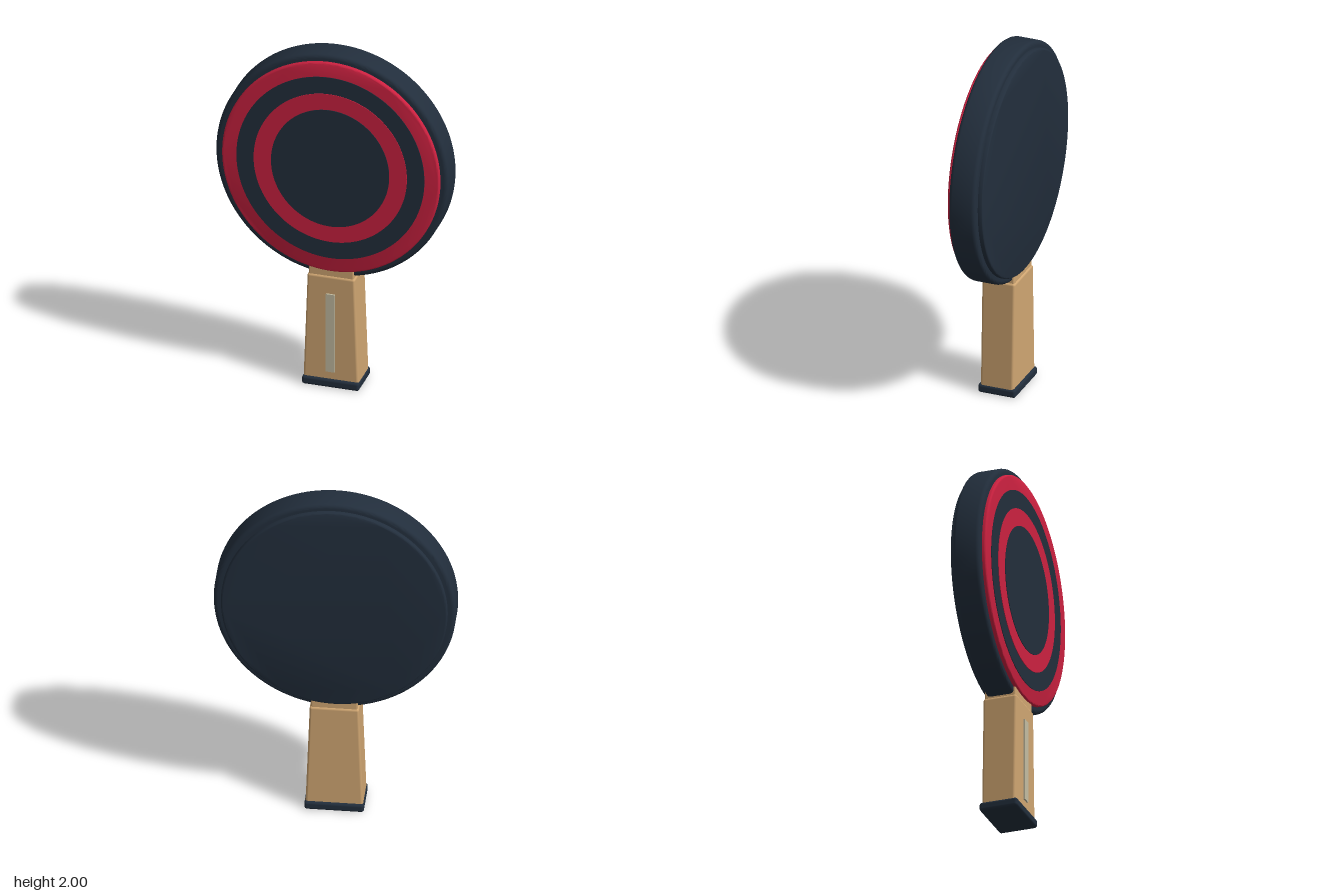
import * as THREE from 'three';
import { toCreasedNormals } from 'three/addons/utils/BufferGeometryUtils.js';
import { RoundedBoxGeometry } from 'three/addons/geometries/RoundedBoxGeometry.js';

const HEAD_Y = 1.333;

function material(name, color) {
  const m = new THREE.MeshStandardMaterial({ color });
  m.name = name;
  return m;
}

// Oval slab from z0 to z1 with outer radii rx, ry and a rounded rim
function ovalSlab(rx, ry, z0, z1, bevel = 0) {
  const shape = new THREE.Shape();
  shape.absellipse(0, 0, rx - bevel, ry - bevel, 0, Math.PI * 2);
  const geo = new THREE.ExtrudeGeometry(shape, {
    depth: z1 - z0 - 2 * bevel,
    curveSegments: 96,
    bevelEnabled: bevel > 0,
    bevelThickness: bevel,
    bevelSize: bevel,
    bevelSegments: 4,
  });
  geo.translate(0, HEAD_Y, z0 + bevel);
  return toCreasedNormals(geo, 0.6);
}

// Rounded block from y0 to y1 whose half width runs from bottom to top
function taperedBlock(bottom, top, y0, y1, halfDepth, radius) {
  const h = y1 - y0;
  const geo = new RoundedBoxGeometry(2 * bottom, h, 2 * halfDepth, 4, radius);
  const pos = geo.attributes.position;
  for (let i = 0; i < pos.count; i++) {
    const t = pos.getY(i) / h + 0.5;
    pos.setX(i, pos.getX(i) * THREE.MathUtils.lerp(1, top / bottom, t));
  }
  geo.translate(0, (y0 + y1) / 2, 0);
  return geo;
}

export function createModel() {
  const model = new THREE.Group();
  model.name = 'paddle';

  const navy = material('navy', 0x222e3c);
  const red = material('red', 0xcc2140);
  const wood = material('wood', 0xd0a672);
  const inlay = material('pale inlay', 0xc4bda2);

  const add = (name, geo, mat) => {
    const mesh = new THREE.Mesh(geo, mat);
    mesh.name = name;
    model.add(mesh);
  };

  // Head with a pad on each face
  add('headCore', ovalSlab(0.65, 0.667, -0.077, 0.077, 0.022), navy);
  add('frontPad', ovalSlab(0.608, 0.63, 0.06, 0.099, 0.01), red);
  add('backPad', ovalSlab(0.608, 0.63, -0.103, -0.06, 0.01), navy);

  // Concentric target discs, each a little prouder than the last
  const discs = [
    ['outerDisc', 0.525, 0.547, 0.102, navy],
    ['middleDisc', 0.428, 0.447, 0.105, red],
    ['centreDisc', 0.33, 0.352, 0.108, navy],
  ];
  for (const [name, rx, ry, z, mat] of discs) {
    add(name, ovalSlab(rx, ry, z - 0.006, z), mat);
  }

  // Handle, neck and butt cap
  add('handle', taperedBlock(0.155, 0.132, 0.03, 0.67, 0.095, 0.014), wood);
  add('neck', taperedBlock(0.126, 0.124, 0.6, 0.76, 0.088, 0.008), wood);
  add('buttCap', taperedBlock(0.16, 0.16, 0, 0.05, 0.108, 0.015), navy);

  // Inlay strip on the front of the handle
  const strip = new THREE.BoxGeometry(0.05, 0.47, 0.009);
  strip.translate(0, 0.33, 0.1);
  add('handleInlay', strip, inlay);

  return model;
}
